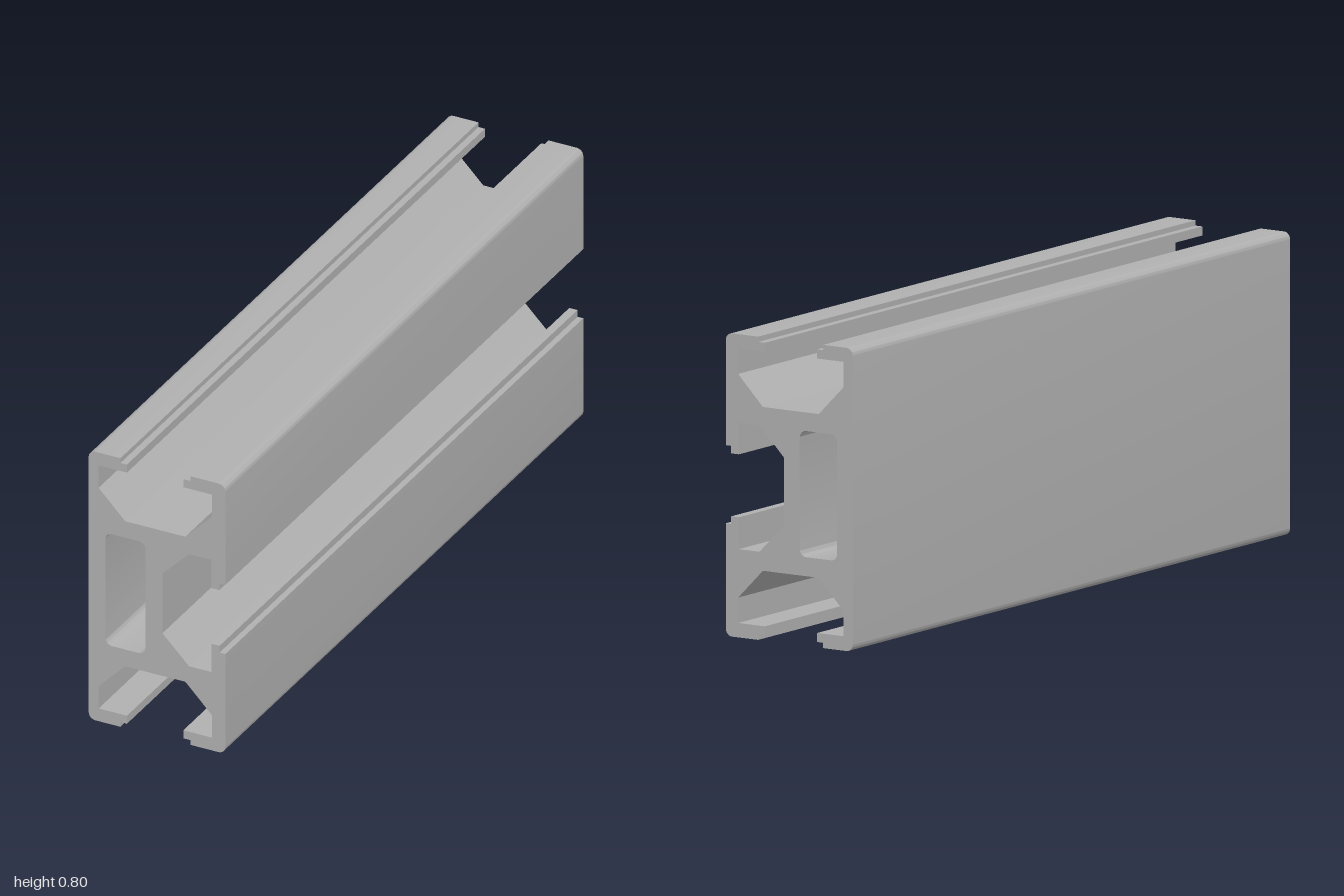
import * as THREE from 'three';
import { toCreasedNormals } from 'three/addons/utils/BufferGeometryUtils.js';

const LENGTH = 2, HEIGHT = 0.8, HALF_W = 0.2, R = 0.02;

// Rounded rectangle path for the closed inner chamber
function roundedRect(x0, y0, x1, y1, r) {
  const p = new THREE.Path();
  p.moveTo(x0 + r, y0);
  p.lineTo(x1 - r, y0);
  p.absarc(x1 - r, y0 + r, r, -Math.PI / 2, 0);
  p.lineTo(x1, y1 - r);
  p.absarc(x1 - r, y1 - r, r, 0, Math.PI / 2);
  p.lineTo(x0 + r, y1);
  p.absarc(x0 + r, y1 - r, r, Math.PI / 2, Math.PI);
  p.lineTo(x0, y0 + r);
  p.absarc(x0 + r, y0 + r, r, Math.PI, Math.PI * 1.5);
  return p;
}

// Rounded outer corner, as points running counter-clockwise
function corner(cx, cy, start) {
  return Array.from({ length: 9 }, (_, i) => {
    const a = start + (i / 8) * Math.PI / 2;
    return [cx + R * Math.cos(a), cy + R * Math.sin(a)];
  });
}

export function createModel() {
  const model = new THREE.Group();
  const aluminium = new THREE.MeshStandardMaterial({ color: 0xb0b0b0 });
  aluminium.name = 'aluminium grey';

  // Upper half of the section: side slot, corner, top slot, corner
  const upper = [
    [0.016, 0.489], [0.094, 0.567], [0.159, 0.567], [0.159, 0.483],
    [0.183, 0.483], [0.183, 0.503], [HALF_W, 0.503],
    ...corner(HALF_W - R, HEIGHT - R, 0),
    [0.098, HEIGHT], [0.098, 0.786], [0.077, 0.786], [0.077, 0.762],
    [0.161, 0.762], [0.161, 0.695], [0.083, 0.616], [-0.093, 0.616],
    [-0.171, 0.695], [-0.171, 0.762], [-0.088, 0.762], [-0.088, 0.786],
    [-0.107, 0.786], [-0.107, HEIGHT],
    ...corner(-HALF_W + R, HEIGHT - R, Math.PI / 2),
  ];
  // Lower half mirrors the upper half
  const lower = upper.map(([x, y]) => [x, HEIGHT - y]).reverse();
  const section = new THREE.Shape(
    [...upper, ...lower].map(([x, y]) => new THREE.Vector2(x, y)));
  section.holes.push(roundedRect(-0.151, 0.234, -0.033, 0.567, R));

  // Straight extrusion along z
  const geometry = new THREE.ExtrudeGeometry(section, {
    depth: LENGTH, bevelEnabled: false, curveSegments: 8,
  });
  geometry.translate(0, 0, -LENGTH / 2);
  const rail = new THREE.Mesh(toCreasedNormals(geometry, Math.PI / 6), aluminium);
  rail.name = 'slottedRail';
  model.add(rail);
  return model;
}
